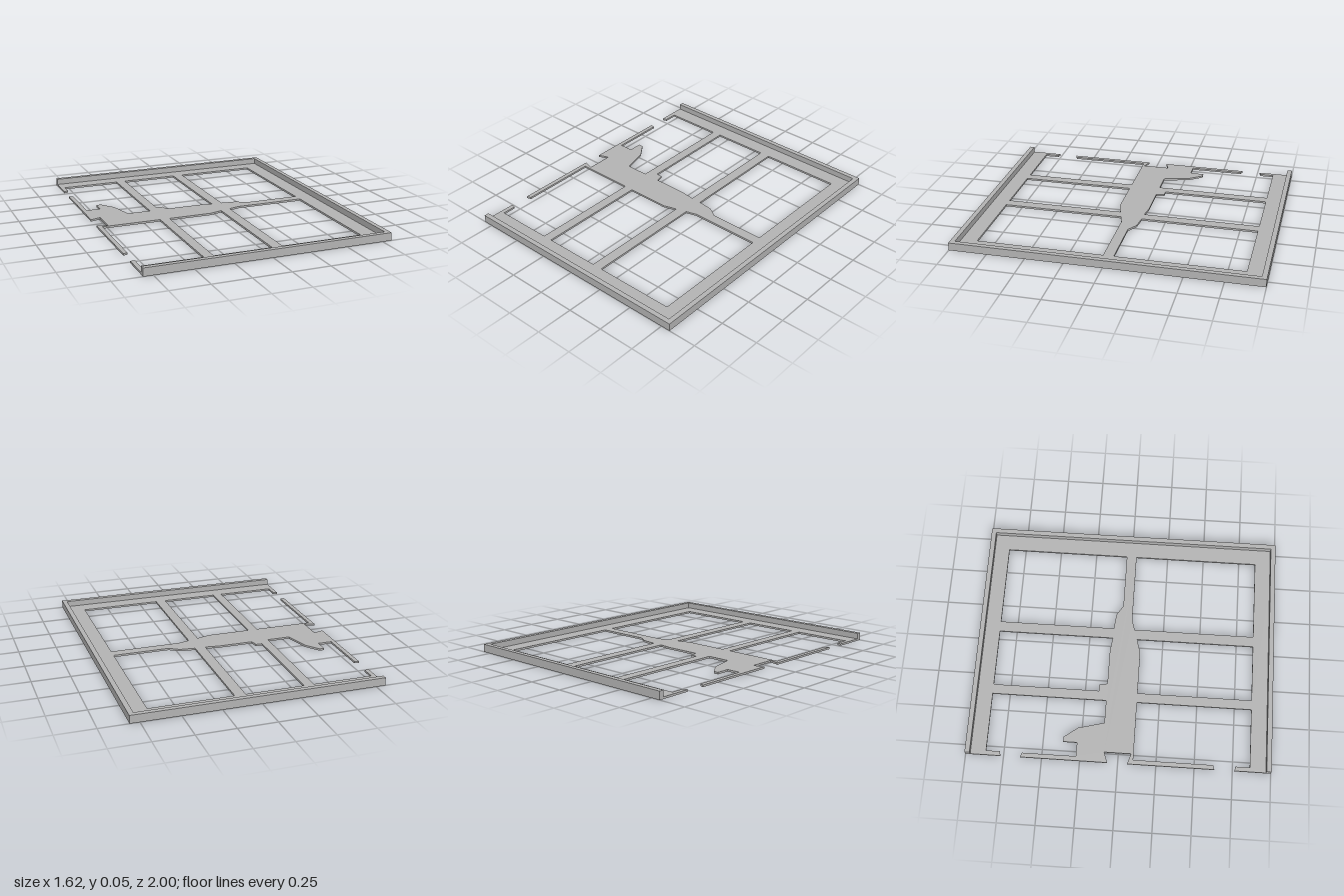
import * as THREE from 'three';

const HX = 0.812;      // half width in x
const HEIGHT = 0.052;  // full height of the rim
const PLATE = 0.013;   // thickness of the flat panel
const RIM = 0.032;     // wall thickness of the rim

const toPoints = (list) => list.map(([x, z]) => new THREE.Vector2(x, z));

// Extrudes a plan drawn in (x, z) so that it fills y0..y1
function slab(outline, holes, y0, y1, material, name) {
  const shape = new THREE.Shape(toPoints(outline));
  for (const hole of holes) shape.holes.push(new THREE.Path(toPoints(hole)));
  const geometry = new THREE.ExtrudeGeometry(shape, { depth: y1 - y0, bevelEnabled: false });
  geometry.rotateX(Math.PI / 2);
  geometry.translate(0, y1, 0);
  const mesh = new THREE.Mesh(geometry, material);
  mesh.name = name;
  return mesh;
}

export function createModel() {
  const group = new THREE.Group();
  group.name = 'framePanel';
  const grey = new THREE.MeshStandardMaterial({ color: 0xb4b4b4 });
  grey.name = 'grey';

  // Key lines of the frame and its cross bars
  const back = -0.867, front = 0.863, right = 0.672, edge = -0.783;
  const barA = [-0.39, -0.326], barB = [0.057, 0.127];

  // Outer outline, running in and out of the two open bays on the -x side
  const outline = [
    [-HX, -1], [HX, -1], [HX, 1], [-HX, 1],
    // front bay
    [-HX, 0.762], [edge, 0.77], [edge, front], [barA[0], front], [barA[0], 0.1],
    [edge, 0.1], [edge, 0.623], [-HX, 0.632],
    // notch
    [-HX, 0.062], [-0.743, 0.084], [-0.743, -0.093], [-HX, -0.068],
    // back bay with the raised tab
    [-HX, -0.64], [edge, -0.631], [edge, -0.276], [-0.69, -0.276], [-0.69, -0.368],
    [-0.658, -0.368], [-0.59, -0.277], [-0.545, -0.106], [barA[0], -0.106],
    [barA[0], back], [edge, back], [edge, -0.778], [-HX, -0.768],
  ];

  // Four closed windows
  const holes = [
    [[barA[1], back], [barB[0], back], [barB[0], -0.093], [-0.035, -0.106],
      [-0.272, -0.106], [-0.283, -0.16], [barA[1], -0.16]],
    [[barB[1], back], [right, back], [right, -0.037], [0.297, -0.037],
      [0.23, -0.08], [barB[1], -0.091]],
    [[barA[1], front], [barB[0], front], [barB[0], 0.073], [-0.035, 0.1], [barA[1], 0.1]],
    [[barB[1], front], [right, front], [right, 0.031], [0.2, 0.031], [barB[1], 0.052]],
  ];
  group.add(slab(outline, holes, 0, PLATE, grey, 'panel'));

  // Raised rim around three sides, open on the -x side
  const rim = [
    [-HX, -1], [HX, -1], [HX, 1], [-HX, 1],
    [-HX, 1 - RIM], [HX - RIM, 1 - RIM], [HX - RIM, RIM - 1], [-HX, RIM - 1],
  ];
  group.add(slab(rim, [], PLATE, HEIGHT, grey, 'rim'));

  return group;
}
